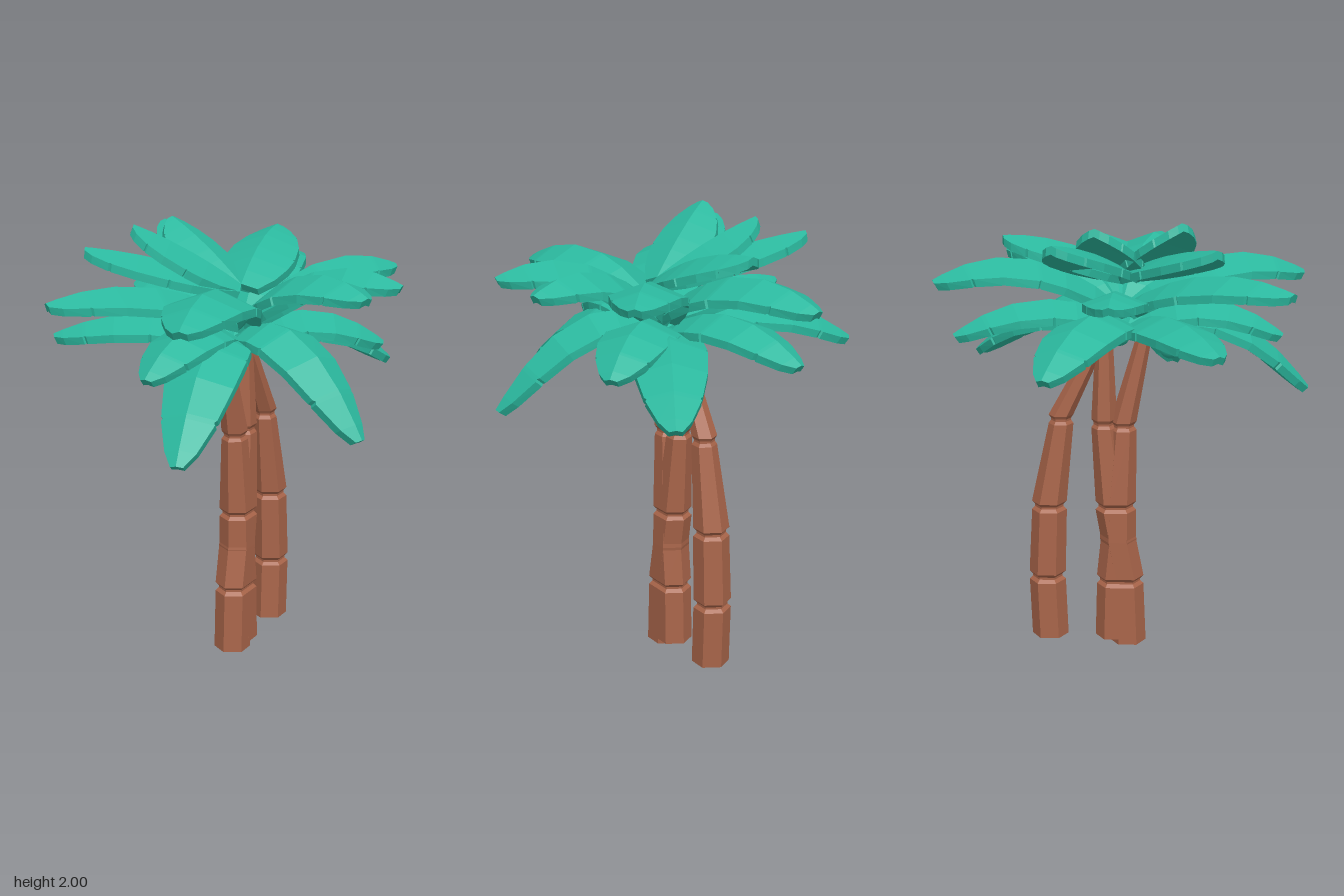
import * as THREE from 'three';

const leafGreen = new THREE.MeshStandardMaterial({ color: 0x2bb89e });
leafGreen.name = 'leaf green';
const barkBrown = new THREE.MeshStandardMaterial({ color: 0xa9654a });
barkBrown.name = 'bark brown';

// Faceted solid skinned over a list of rings, closed at both ends
function loft(rings) {
  const n = rings[0].length, pos = [];
  const tri = (...pts) => pts.forEach((p) => pos.push(p.x, p.y, p.z));
  for (let i = 0; i < rings.length - 1; i++) {
    for (let j = 0; j < n; j++) {
      const k = (j + 1) % n;
      const a = rings[i][j], b = rings[i][k], c = rings[i + 1][k], d = rings[i + 1][j];
      tri(a, b, c);
      tri(a, c, d);
    }
  }
  const first = rings[0], last = rings[rings.length - 1];
  for (let j = 2; j < n; j++) {
    const k = (j + 1) % n;
    tri(last[1], last[j], last[k]);
    tri(first[1], first[k], first[j]);
  }
  const geo = new THREE.BufferGeometry();
  geo.setAttribute('position', new THREE.Float32BufferAttribute(pos, 3));
  geo.computeVertexNormals();
  return geo;
}

// Six-sided trunk; knots are [y, z, radius], and a fourth value marks a groove
function trunkGeometry(knots) {
  const ring = (y, z, r) => Array.from({ length: 6 }, (_, j) => {
    const a = (j / 6) * Math.PI * 2;
    return new THREE.Vector3(0.017 + r * Math.sin(a), y, z + r * Math.cos(a));
  });
  return loft(knots.flatMap(([y, z, r, grooved]) => (grooved
    ? [ring(y - 0.02, z, r), ring(y - 0.005, z, r * 0.82), ring(y + 0.005, z, r * 0.82), ring(y + 0.02, z, r)]
    : [ring(y, z, r)])));
}

// [position along the frond, share of full width]; the dips are the joints
const outline = [
  [0, 0.42], [0.14, 0.75], [0.3, 0.94], [0.435, 1], [0.445, 0.95], [0.455, 1],
  [0.66, 0.93], [0.82, 0.74], [0.83, 0.68], [0.84, 0.71], [0.95, 0.42], [1, 0.17],
];

// Folded frond with a raised midrib that arches from root to tip
function frondGeometry(root, midY, tip, width) {
  const mid = root.clone().add(tip).multiplyScalar(0.5);
  const control = mid.clone().setY(2 * midY - mid.y);
  const curve = new THREE.QuadraticBezierCurve3(root, control, tip);
  const side = new THREE.Vector3().subVectors(tip, root).cross(new THREE.Vector3(0, 1, 0)).normalize();
  return loft(outline.map(([t, share]) => {
    const p = curve.getPoint(t);
    const up = side.clone().cross(curve.getTangent(t)).normalize();
    const w = (width / 2) * share;
    const at = (s, u) => p.clone().addScaledVector(side, s).addScaledVector(up, u);
    const drop = -w * 0.38, thick = 0.035;
    return [at(-w, drop), at(0, 0), at(w, drop), at(w, drop - thick), at(0, -thick), at(-w, drop - thick)];
  }));
}

const trunks = {
  frontTrunk: [[0, 0, 0.084], [0.3, -0.01, 0.083, true], [0.5, -0.045, 0.083], [0.66, -0.042, 0.08, true],
    [1.04, -0.02, 0.06, true], [1.43, 0.068, 0.036]],
  middleTrunk: [[0.025, -0.066, 0.084], [0.3, -0.06, 0.083, true], [0.5, -0.042, 0.082], [0.66, -0.068, 0.08, true],
    [1.05, -0.107, 0.058, true], [1.49, -0.105, 0.036]],
  backTrunk: [[0.03, -0.362, 0.084], [0.32, -0.372, 0.084, true], [0.66, -0.36, 0.08, true],
    [1.07, -0.302, 0.056, true], [1.45, -0.12, 0.036]],
};

// Fronds of each crown: tip x, y, z, height of the arch at mid length, width
const crowns = [
  { name: 'lowerCrown', root: [0.02, 1.5, 0.0], fronds: [
    [0.23, 1.18, 0.83, 1.54, 0.32],
    [0.755, 1.2, 0.22, 1.58, 0.32],
    [0.45, 1.31, -0.72, 1.55, 0.32],
    [0.56, 1.46, -0.41, 1.61, 0.32],
    [-0.76, 1.43, -0.33, 1.61, 0.32],
    [-0.675, 1.51, 0.38, 1.6, 0.3],
    [0.0, 1.47, 0.69, 1.62, 0.3],
    [-0.14, 1.49, -0.76, 1.63, 0.3],
  ] },
  { name: 'middleCrown', root: [0.05, 1.58, -0.03], fronds: [
    [0.75, 1.79, 0.19, 1.83, 0.34],
    [0.755, 1.78, -0.15, 1.82, 0.32],
    [0.54, 1.78, -0.565, 1.81, 0.32],
    [0.23, 1.72, 0.795, 1.8, 0.36],
    [-0.48, 1.73, 0.69, 1.76, 0.33],
    [-0.16, 1.73, -0.84, 1.81, 0.35],
    [-0.53, 1.68, -0.07, 1.7, 0.28],
  ] },
  { name: 'upperCrown', root: [0.06, 1.74, 0.0], fronds: [
    [-0.05, 1.91, -0.54, 1.87, 0.33],
    [-0.5, 1.91, 0.37, 1.85, 0.28],
    [-0.515, 1.93, -0.3, 1.86, 0.28],
    [-0.34, 2.0, 0.23, 1.89, 0.28],
    [-0.37, 1.98, -0.13, 1.88, 0.28],
  ] },
];

const coconuts = [[-0.03, 1.41, 0.19], [0.045, 1.45, -0.04], [0.0, 1.46, -0.17]];

export function createModel() {
  const model = new THREE.Group();
  model.name = 'palmTrees';
  const add = (parent, name, geo, material) => {
    const mesh = new THREE.Mesh(geo, material);
    mesh.name = name;
    parent.add(mesh);
    return mesh;
  };

  for (const [name, knots] of Object.entries(trunks)) {
    add(model, name, trunkGeometry(knots), barkBrown);
  }

  for (const { name, root, fronds } of crowns) {
    const crown = new THREE.Group();
    crown.name = name;
    const centre = new THREE.Vector3(...root);
    for (const [x, y, z, midY, width] of fronds) {
      add(crown, 'frond', frondGeometry(centre, midY, new THREE.Vector3(x, y, z), width), leafGreen);
    }
    model.add(crown);
  }

  // Young coconuts hanging under the crowns
  for (const p of coconuts) {
    add(model, 'coconut', new THREE.IcosahedronGeometry(0.05, 2), leafGreen).position.set(...p);
  }
  return model;
}
